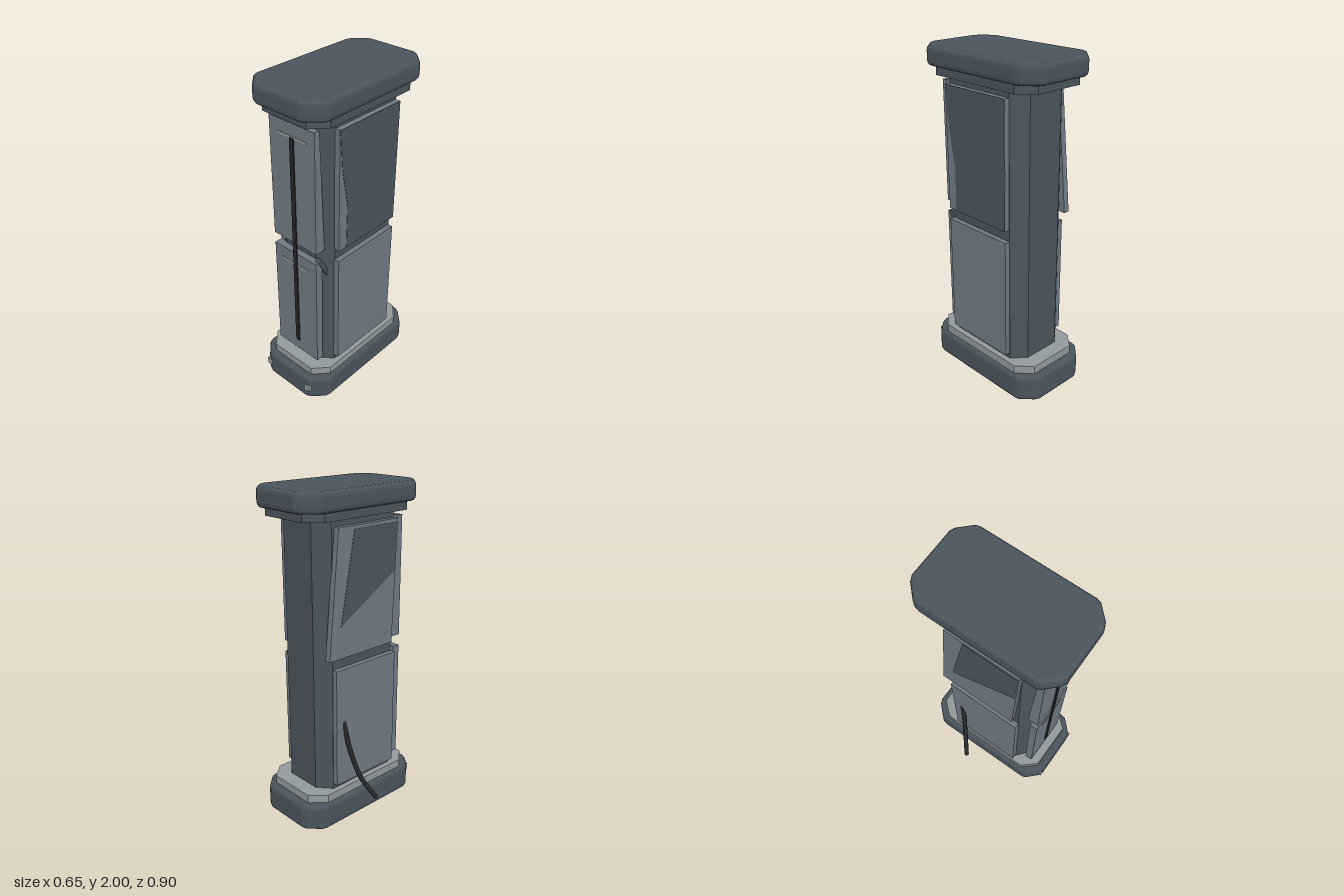
import * as THREE from 'three';

const CX = 0.066; // the pillar stands off centre, the cable fills the other side

const mat = (name, color) => {
  const m = new THREE.MeshStandardMaterial({ color });
  m.name = name;
  return m;
};

export function createModel() {
  const group = new THREE.Group();
  const dark = mat('dark slate', 0x4a555d);
  const panel = mat('panel grey', 0x6f7a84);
  const pale = mat('pale metal', 0x929a9c);
  const black = mat('cable black', 0x26272c);

  const add = (name, geometry, material) => {
    const mesh = new THREE.Mesh(geometry, material);
    mesh.name = name;
    group.add(mesh);
    return mesh;
  };
  const box = (name, x0, x1, y0, y1, z0, z1, material) => {
    const g = new THREE.BoxGeometry(x1 - x0, y1 - y0, z1 - z0);
    g.translate((x0 + x1) / 2, (y0 + y1) / 2, (z0 + z1) / 2);
    return add(name, g, material);
  };

  // Horizontal slab from one plan corner, mirrored to four; optional bevel on both rims
  const slab = (name, corner, y0, y1, material, bevel = 0, rim = 0) => {
    const back = [...corner].reverse();
    const pts = [
      ...corner,
      ...back.map(([x, z]) => [-x, z]),
      ...corner.map(([x, z]) => [-x, -z]),
      ...back.map(([x, z]) => [x, -z]),
    ].map(([x, z]) => new THREE.Vector2(x, z));
    const g = new THREE.ExtrudeGeometry(new THREE.Shape(pts), {
      depth: y1 - y0 - 2 * rim,
      bevelEnabled: bevel > 0,
      bevelSize: bevel,
      bevelOffset: -bevel,
      bevelThickness: rim,
      bevelSegments: 3,
    });
    g.rotateX(-Math.PI / 2);
    g.translate(CX, y0 + rim, 0);
    return add(name, g, material);
  };

  // Upright plate drawn in (z, y), running from x0 to x1
  const plate = (name, pts, x0, x1, material) => {
    const shape = new THREE.Shape(pts.map(([z, y]) => new THREE.Vector2(z, y)));
    const g = new THREE.ExtrudeGeometry(shape, { depth: x1 - x0, bevelEnabled: false });
    g.rotateY(-Math.PI / 2);
    g.translate(x1, 0, 0);
    return add(name, g, material);
  };

  // Base and top cap
  const capCorner = [[0.258, 0.335], [0.25, 0.365], [0.18, 0.435], [0.15, 0.449]];
  slab('base', capCorner, 0, 0.165, dark, 0.02, 0.03);
  slab('topCap', capCorner, 1.885, 2, dark, 0.02, 0.03);

  // Collars and core
  const collarCorner = [[0.235, 0.31], [0.155, 0.4]];
  slab('lowerCollar', collarCorner, 0.16, 0.215, pale);
  slab('upperCollar', collarCorner, 1.838, 1.89, dark);
  slab('core', [[0.2, 0.237], [0.117, 0.307]], 0.2, 1.85, dark);

  // Lower panels
  const low = 0.25, mid = 0.99, up = 1.06, high = 1.8;
  box('lowerFrontPanel', -0.1, 0.226, low, mid, 0.3, 0.348, panel);
  box('lowerLeftPanel', 0.26, 0.297, low, mid, -0.235, 0.24, panel);
  box('lowerRightPanel', -0.167, -0.13, low, mid, -0.235, 0.24, panel);

  // Upper panels: the front one is wedge shaped, the right one skewed
  plate('upperFrontPanel', [[0.313, high], [0.348, high], [0.348, up], [0.28, up]], -0.1, 0.226, panel);
  box('upperLeftPanel', 0.26, 0.297, up, high, -0.235, 0.24, panel);
  plate('upperRightPanel', [[-0.215, high], [0.24, high], [0.21, up], [-0.285, up]], -0.167, -0.13, panel);

  // Dark inlays on the upper side panels
  plate('leftInlay',
    [[-0.234, up], [0.18, up], [0.175, 1.32], [0.22, 1.57], [0.238, high], [-0.234, high]],
    0.294, 0.299, dark);
  plate('rightInlay', [[-0.1, 1.78], [0.232, 1.78], [0.22, 1.5], [-0.2, 1.25]], -0.169, -0.164, dark);

  // Small bent flap at the joint of the front panels
  plate('flap', [[0.33, 0.99], [0.31, 1.01], [0.26, 0.92], [0.26, 0.86]], 0.2, 0.232, dark);

  // Front strip and pale lines
  box('frontStrip', 0.052, 0.08, 0.325, 1.72, 0.346, 0.355, black);
  for (const y of [0.912, 1.722]) box('frontLine', -0.04, 0.166, y - 0.007, y + 0.007, 0.345, 0.351, pale);

  // Studs on the base front
  for (const s of [-1, 1]) {
    const x = CX + s * 0.167;
    box('baseStud', x - 0.018, x + 0.018, 0.068, 0.112, 0.41, 0.45, pale);
  }

  // Loose cable on the right side
  const path = new THREE.CatmullRomCurve3([
    [-0.155, 0.66, -0.175], [-0.185, 0.48, -0.15], [-0.24, 0.29, -0.11], [-0.312, 0.165, -0.055],
  ].map((p) => new THREE.Vector3(...p)));
  add('cable', new THREE.TubeGeometry(path, 16, 0.015, 8), black);
  const end = new THREE.SphereGeometry(0.015, 8, 6);
  end.translate(-0.312, 0.165, -0.055);
  add('cableEnd', end, black);

  return group;
}
